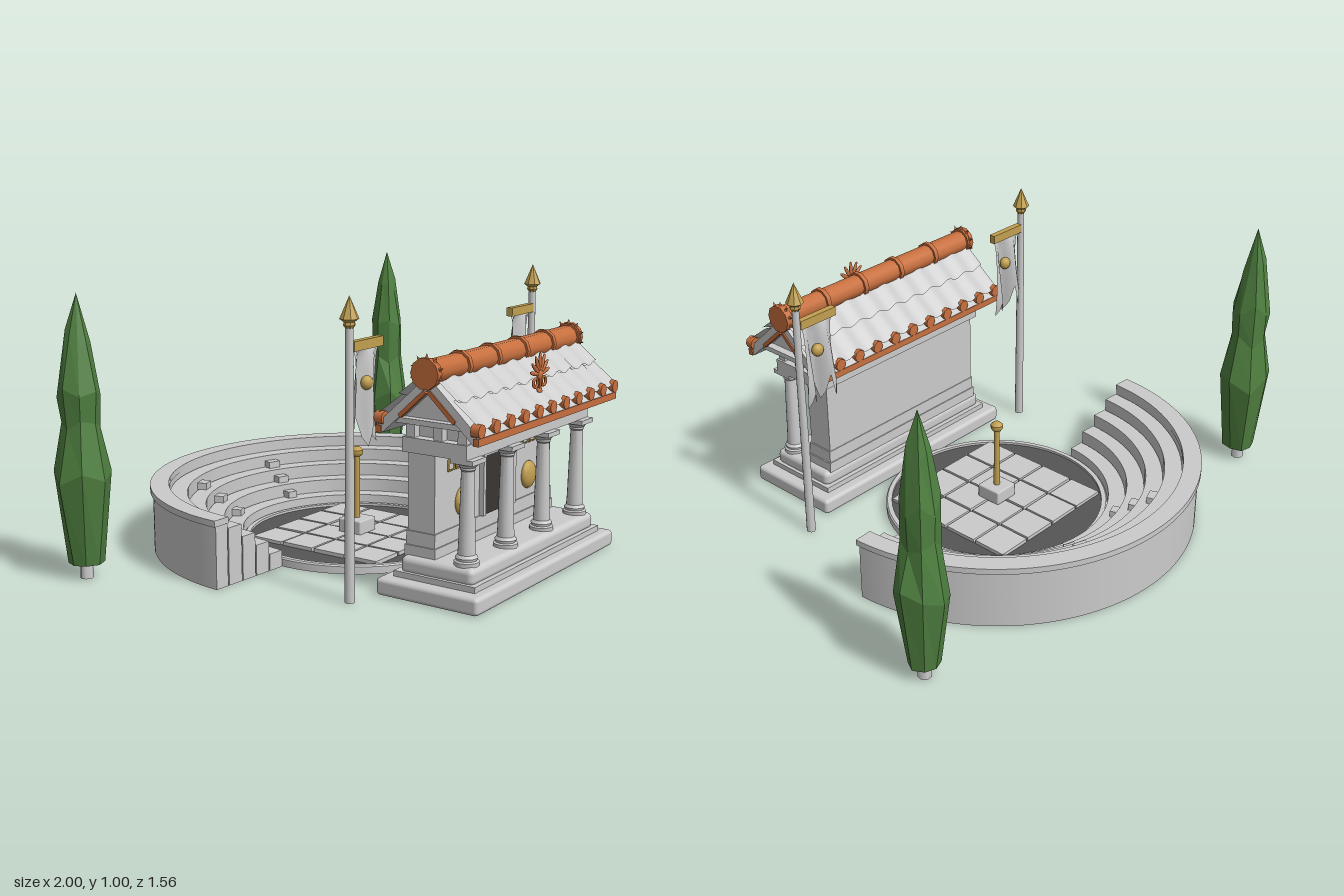
import * as THREE from 'three';
import { toCreasedNormals } from 'three/addons/utils/BufferGeometryUtils.js';
import { RoundedBoxGeometry } from 'three/addons/geometries/RoundedBoxGeometry.js';

const mat = (color, opts = {}) => new THREE.MeshStandardMaterial({ color, ...opts });
const stone = mat(0xcccccc);
const sheet = mat(0xcccccc, { side: THREE.DoubleSide });
const terracotta = mat(0xc8703f);
const gold = mat(0xc2a050);
const dark = mat(0x3a3532);
const paving = mat(0x555555);
const leaf = mat(0x4f8040, { flatShading: true });

function add(parent, name, geo, material, x = 0, y = 0, z = 0) {
  const m = new THREE.Mesh(geo, material);
  m.name = name;
  m.position.set(x, y, z);
  parent.add(m);
  return m;
}
function group(parent, name, x = 0, y = 0, z = 0) {
  const g = new THREE.Group();
  g.name = name;
  g.position.set(x, y, z);
  parent.add(g);
  return g;
}
// Box given by its width, y range and z range, centred on x
const slab = (parent, name, w, y0, y1, z0, z1, material = stone, x = 0) =>
  add(parent, name, new THREE.BoxGeometry(w, y1 - y0, z1 - z0), material, x, (y0 + y1) / 2, (z0 + z1) / 2);
const lathe = (pts, n) => toCreasedNormals(
  new THREE.LatheGeometry(pts.map(p => new THREE.Vector2(...p)), n), 0.6);

let seed = 7;
const rand = () => (seed = (seed * 16807) % 2147483647) / 2147483647 - 0.5;

// Upright ring sector; angles in degrees, 90 points to the back
function sector(r0, r1, a0, a1, h) {
  const a = THREE.MathUtils.degToRad(a0), b = THREE.MathUtils.degToRad(a1);
  const s = new THREE.Shape();
  s.absarc(0, 0, r1, a, b, false);
  s.absarc(0, 0, r0, b, a, true);
  const g = new THREE.ExtrudeGeometry(s, { depth: h, bevelEnabled: false, curveSegments: 48 });
  return toCreasedNormals(g.rotateX(-Math.PI / 2), 0.5);
}

function buildTheatre(root) {
  const t = group(root, 'theatre', 0.005, 0, -0.03);
  // Seating tiers with half-height stair blocks between them
  const r = [0.42, 0.487, 0.555, 0.622, 0.69], h = [0.06, 0.108, 0.155, 0.2];
  h.forEach((top, i) => {
    add(t, 'seatTier', sector(r[i], r[i + 1] - 0.005, 3, 177, top), stone);
    if (i < 3) for (const a of [70, 110]) {
      add(t, 'stairBlock', sector(r[i + 1] - 0.036, r[i + 1], a - 2.4, a + 2.4, 0.025), stone, 0, top, 0);
    }
  });
  add(t, 'outerWall', sector(0.69, 0.745, 3, 177, 0.22), stone);
  add(t, 'wallCap', sector(0.688, 0.755, 2.7, 177.3, 0.022), stone, 0, 0.218, 0);

  // Round stage floor
  add(t, 'stageFloor', new THREE.CylinderGeometry(0.4, 0.4, 0.022, 64), paving, 0, 0.011, 0);
  add(t, 'stageRim', lathe([[0.395, 0], [0.417, 0], [0.417, 0.026], [0.412, 0.031], [0.395, 0.031], [0.395, 0]], 64), stone);
  for (let i = 0; i < 4; i++) for (let j = 0; j < 4; j++) {
    const p = add(t, 'pavingSlab', new THREE.BoxGeometry(0.131, 0.014, 0.131), stone,
      (i - 1.5) * 0.14, 0.028 + rand() * 0.003, (j - 1.5) * 0.14 + 0.004);
    p.rotation.set(rand() * 0.015, rand() * 0.03, rand() * 0.015);
  }
  // Altar with its post
  add(t, 'altarBlock', new RoundedBoxGeometry(0.1, 0.054, 0.1, 1, 0.006), stone, 0, 0.06, 0);
  add(t, 'altarPost', new THREE.CylinderGeometry(0.01, 0.012, 0.25, 10), gold, 0, 0.205, 0);
  add(t, 'altarKnob', lathe([[0, 0.32], [0.016, 0.32], [0.023, 0.33], [0.023, 0.343], [0.012, 0.353], [0, 0.355]], 12), gold);
}

// Corrugated tile row on one slope; d0..d1 are distances from the ridge in z
function tileRow(d0, d1, lift) {
  const g = new THREE.PlaneGeometry(0.95, 1, 100, 3);
  const p = g.attributes.position;
  for (let i = 0; i < p.count; i++) {
    const x = p.getX(i), v = 0.5 - p.getY(i);
    const d = d0 + (d1 - d0) * v;
    p.setXYZ(i, x, 0.762 - d * 0.92 + lift * v + 0.007 * Math.cos(x * Math.PI * 2 / 0.094), d);
  }
  g.computeVertexNormals();
  return g;
}

function buildTemple(root) {
  const t = group(root, 'temple', 0.008, 0, 0.578);
  // Stepped base
  add(t, 'lowerStep', new RoundedBoxGeometry(0.965, 0.06, 0.39, 2, 0.015), stone, 0, 0.03, 0.003);
  slab(t, 'stepJoint', 0.87, 0.05, 0.08, -0.15, 0.16);
  add(t, 'upperStep', new RoundedBoxGeometry(0.85, 0.062, 0.28, 2, 0.022), stone, 0, 0.1, 0.005);

  // Walled chamber
  slab(t, 'chamber', 0.78, 0.13, 0.485, -0.125, -0.022);
  slab(t, 'chamberPlinth', 0.8, 0.125, 0.165, -0.132, -0.012);
  slab(t, 'chamberPlinthCourse', 0.79, 0.165, 0.212, -0.128, -0.017);
  slab(t, 'doorway', 0.19, 0.212, 0.42, -0.03, -0.012, dark);
  for (const s of [-1, 1]) {
    slab(t, 'doorJamb', 0.016, 0.212, 0.434, -0.03, -0.004, stone, s * 0.102);
    const shield = add(t, 'shield', new THREE.SphereGeometry(0.045, 16, 10), gold, s * 0.222, 0.29, -0.018);
    shield.scale.set(1, 1.12, 0.5);
    // Row of open square frames
    for (let i = 0; i < 4; i++) {
      const f = add(t, 'friezeFrame', new THREE.TorusGeometry(0.026, 0.004, 4, 4), gold,
        s * 0.222 + (i - 1.5) * 0.05, 0.428, -0.018);
      f.rotation.z = Math.PI / 4;
    }
  }
  slab(t, 'doorLintel', 0.22, 0.42, 0.44, -0.03, -0.004);

  // Columns
  const column = lathe([[0, 0.128], [0.042, 0.128], [0.042, 0.142], [0.035, 0.146], [0.038, 0.155], [0.03, 0.165],
    [0.028, 0.2], [0.022, 0.44], [0.026, 0.445], [0.026, 0.452], [0.04, 0.468], [0, 0.468]], 16);
  for (let i = 0; i < 4; i++) {
    const c = group(t, 'column', (i - 1.5) * 0.25, 0, 0.092);
    add(c, 'shaft', column, stone);
    slab(c, 'capital', 0.084, 0.466, 0.482, -0.042, 0.042);
  }

  // Entablature and gable
  slab(t, 'architrave', 0.835, 0.48, 0.53, -0.132, 0.112);
  slab(t, 'frieze', 0.76, 0.53, 0.587, -0.11, 0.095);
  for (const s of [-1, 1]) for (const z of [-0.105, 0, 0.09]) {
    slab(t, 'friezeBlock', 0.03, 0.53, 0.587, z - 0.016, z + 0.016, stone, s * 0.395);
  }
  slab(t, 'cornice', 0.92, 0.584, 0.602, -0.135, 0.135);
  const tri = new THREE.Shape([[-0.13, 0], [0.13, 0], [0, 0.115]].map(p => new THREE.Vector2(...p)));
  add(t, 'gable', new THREE.ExtrudeGeometry(tri, { depth: 0.86, bevelEnabled: false })
    .translate(0, 0, -0.43).rotateY(Math.PI / 2), stone, 0, 0.6, 0);

  // Roof slopes, mirrored front and back
  for (const s of [0, 1]) {
    const side = group(t, s ? 'backRoof' : 'frontRoof');
    side.rotation.y = s * Math.PI;
    const deck = add(side, 'roofDeck', new THREE.BoxGeometry(0.95, 0.034, 0.262), stone, 0, 0.65, 0.084);
    deck.rotation.x = Math.atan(0.92);
    add(side, 'upperTiles', tileRow(0, 0.11, 0.014), sheet);
    add(side, 'lowerTiles', tileRow(0.095, 0.188, 0.014), sheet);
    slab(side, 'eaveTrim', 0.96, 0.548, 0.572, 0.172, 0.192, terracotta);
    for (let i = 0; i < 11; i++) {
      const d = add(side, 'eaveCap', new THREE.CylinderGeometry(0.023, 0.023, 0.03, 8), terracotta, (i - 5) * 0.093, 0.595, 0.18);
      d.rotation.x = Math.PI / 2;
    }
    for (const e of [-1, 1]) {
      const rake = add(side, 'gableTrim', new THREE.BoxGeometry(0.016, 0.014, 0.13), terracotta, e * 0.472, 0.655, 0.055);
      rake.rotation.x = Math.atan(0.92);
    }
  }

  // Ridge roll with bands and rayed end pieces
  const roll = (name, r, w, x) => {
    add(t, name, toCreasedNormals(new THREE.CylinderGeometry(r, r, w, 10), 0.7).rotateZ(Math.PI / 2), terracotta, x, 0.757, -0.003);
  };
  roll('ridgeRoll', 0.042, 0.96, 0);
  for (let i = 0; i < 6; i++) roll('ridgeBand', 0.05, 0.018, (i - 2.5) * 0.188);
  for (const e of [-1, 1]) {
    roll('ridgeEnd', 0.052, 0.018, e * 0.48);
    for (let i = 0; i < 7; i++) {
      const a = (i - 3) * 0.62;
      const ray = add(t, 'ridgeRay', new THREE.ConeGeometry(0.013, 0.03, 4), terracotta,
        e * 0.474, 0.757 + Math.cos(a) * 0.05, -0.003 + Math.sin(a) * 0.05);
      ray.rotation.x = a;
    }
  }

  // Fan ornament above the front eave
  const fan = group(t, 'fanOrnament', -0.003, 0.7, 0.14);
  for (let i = 0; i < 7; i++) {
    const a = (i - 3) * 0.45, len = 0.078 - Math.abs(i - 3) * 0.003;
    const petal = add(fan, 'petal', new THREE.SphereGeometry(1, 8, 6), terracotta, -Math.sin(a) * len / 2, Math.cos(a) * len / 2, 0);
    petal.scale.set(0.008, len / 2, 0.006);
    petal.rotation.z = a;
  }
  add(fan, 'fanHub', new THREE.SphereGeometry(0.018, 10, 8), terracotta).scale.z = 0.5;
  slab(fan, 'fanStem', 0.012, -0.06, 0, -0.005, 0.005, terracotta);
  add(fan, 'fanFoot', new THREE.SphereGeometry(0.014, 8, 6), terracotta, 0, -0.055, 0).scale.z = 0.6;
  for (const s of [-1, 1]) {
    add(fan, 'fanCurl', new THREE.TorusGeometry(0.015, 0.005, 6, 12), terracotta, s * 0.028, -0.025, 0);
  }
}

// Pole with a ragged banner hanging toward the middle; s is the side
function buildBanner(root, s) {
  const b = group(root, 'bannerPole', 0.005 + s * 0.587, 0, 0.362);
  add(b, 'pole', new THREE.CylinderGeometry(0.013, 0.017, 0.92, 10), stone, 0, 0.46, 0);
  add(b, 'finial', lathe([[0.013, 0.895], [0.02, 0.905], [0.018, 0.915], [0.032, 0.925], [0, 0.998]], 8), gold);
  const x = -s * 0.09;
  slab(b, 'bannerBar', 0.16, 0.82, 0.852, -0.012, 0.012, gold, x);
  const cloth = new THREE.PlaneGeometry(0.14, 1, 12, 12), p = cloth.attributes.position;
  const rag = [0, 0.07, 0.02, 0.1, 0.03, 0, 0.05, 0.09, 0.02, 0.01, 0.06, 0.03, 0];
  for (let i = 0; i < p.count; i++) {
    const v = 0.5 - p.getY(i), u = p.getX(i) / 0.14;
    p.setXYZ(i, p.getX(i), 0.825 - v * (0.32 - rag[i % 13]), 0.028 * Math.sin(u * 9 + v * 1.5) * Math.sqrt(v));
  }
  cloth.computeVertexNormals();
  add(b, 'bannerCloth', cloth, sheet, x, 0, 0);
  const emblem = add(b, 'bannerEmblem', new THREE.SphereGeometry(0.024, 12, 8), gold, x, 0.71, 0.003);
  emblem.scale.z = 0.8;
}

function buildCypress(root, x, z, scale) {
  const c = group(root, 'cypress', x, 0, z);
  add(c, 'trunk', new THREE.CylinderGeometry(0.02, 0.024, 0.07, 7), stone, 0, 0.035, 0);
  const rings = [[0, 0.055], [0.06, 0.055], [0.102, 0.35], [0.068, 0.53], [0.072, 0.66], [0.038, 0.83], [0, 0.975]];
  const g = new THREE.LatheGeometry(rings.map(q => new THREE.Vector2(...q)), 8), p = g.attributes.position;
  const n = rings.length, jitter = Array.from({ length: 8 * n }, () => [1 + rand() * 0.16, rand() * 0.07]);
  for (let i = 0; i < p.count; i++) {
    const k = i % n, [f, dy] = jitter[i % (8 * n)];
    const inner = k > 1 && k < n - 1;
    p.setXYZ(i, p.getX(i) * f * scale, p.getY(i) + (inner ? dy : 0), p.getZ(i) * f * scale);
  }
  add(c, 'foliage', g, leaf);
}

export function createModel() {
  const root = new THREE.Group();
  root.name = 'templeTheatre';
  buildTheatre(root);
  buildTemple(root);
  for (const s of [-1, 1]) buildBanner(root, s);
  buildCypress(root, -0.893, -0.52, 1);
  buildCypress(root, 0.902, -0.515, 0.92);
  return root;
}
